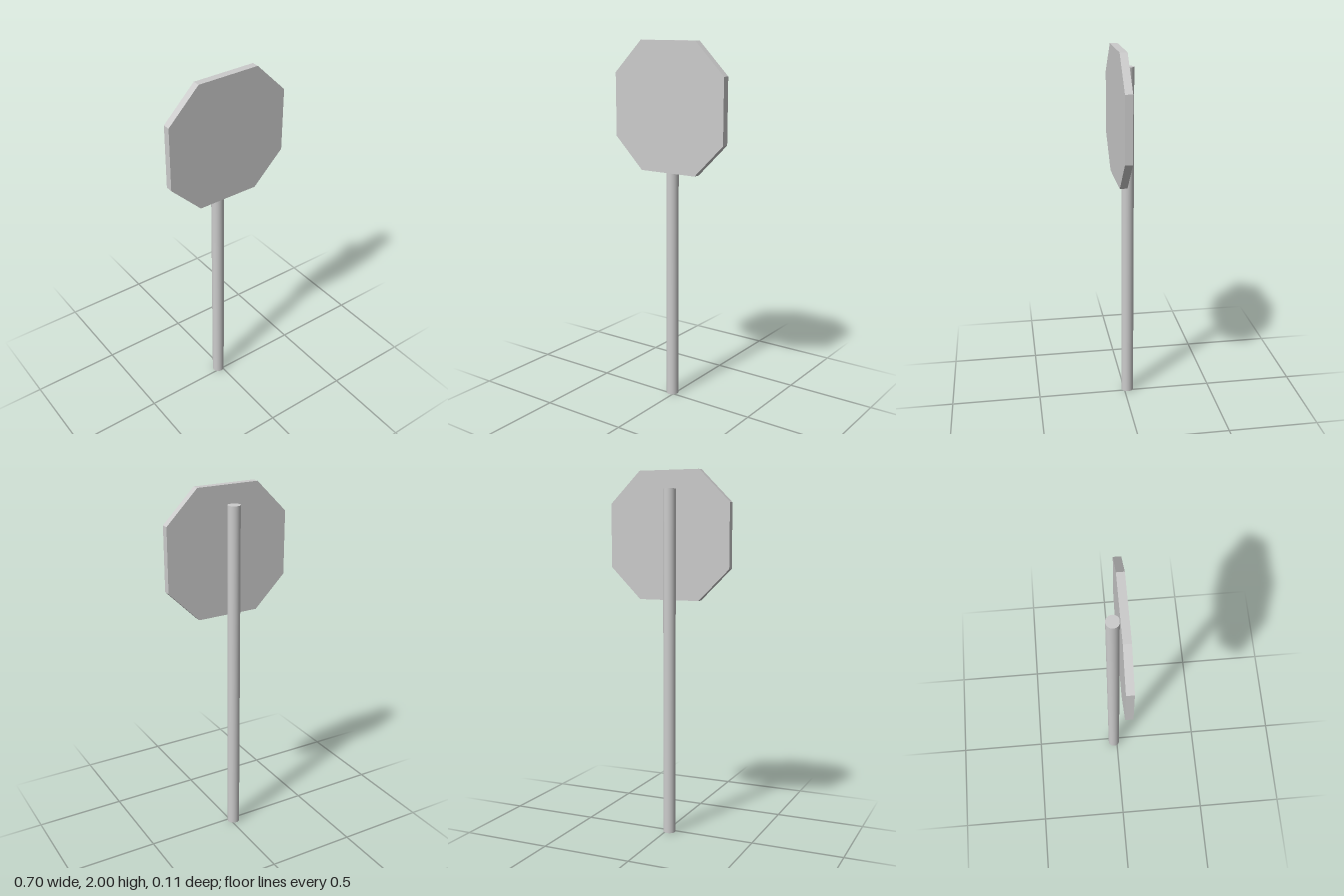
import * as THREE from 'three';

export function createModel() {
  const group = new THREE.Group();
  const material = new THREE.MeshStandardMaterial({ color: 0xcccccc });

  // Round pole, set slightly off centre behind the plate
  const radius = 0.034, height = 1.9;
  const pole = new THREE.Mesh(new THREE.CylinderGeometry(radius, radius, height, 48), material);
  pole.name = 'pole';
  pole.position.set(-0.018, height / 2, -0.019);
  group.add(pole);

  // Eight-sided plate: a square with its corners cut at half the half-width
  const a = 0.348, b = a / 2;
  const corners = [[a, -b], [a, b], [b, a], [-b, a], [-a, b], [-a, -b], [-b, -a], [b, -a]];
  const outline = new THREE.Shape(corners.map(([x, y]) => new THREE.Vector2(x, y)));
  const plate = new THREE.Mesh(
    new THREE.ExtrudeGeometry(outline, { depth: 0.04, bevelEnabled: false }), material);
  plate.name = 'signPlate';
  plate.position.set(0, 2 - a, 0.012);
  group.add(plate);

  return group;
}
